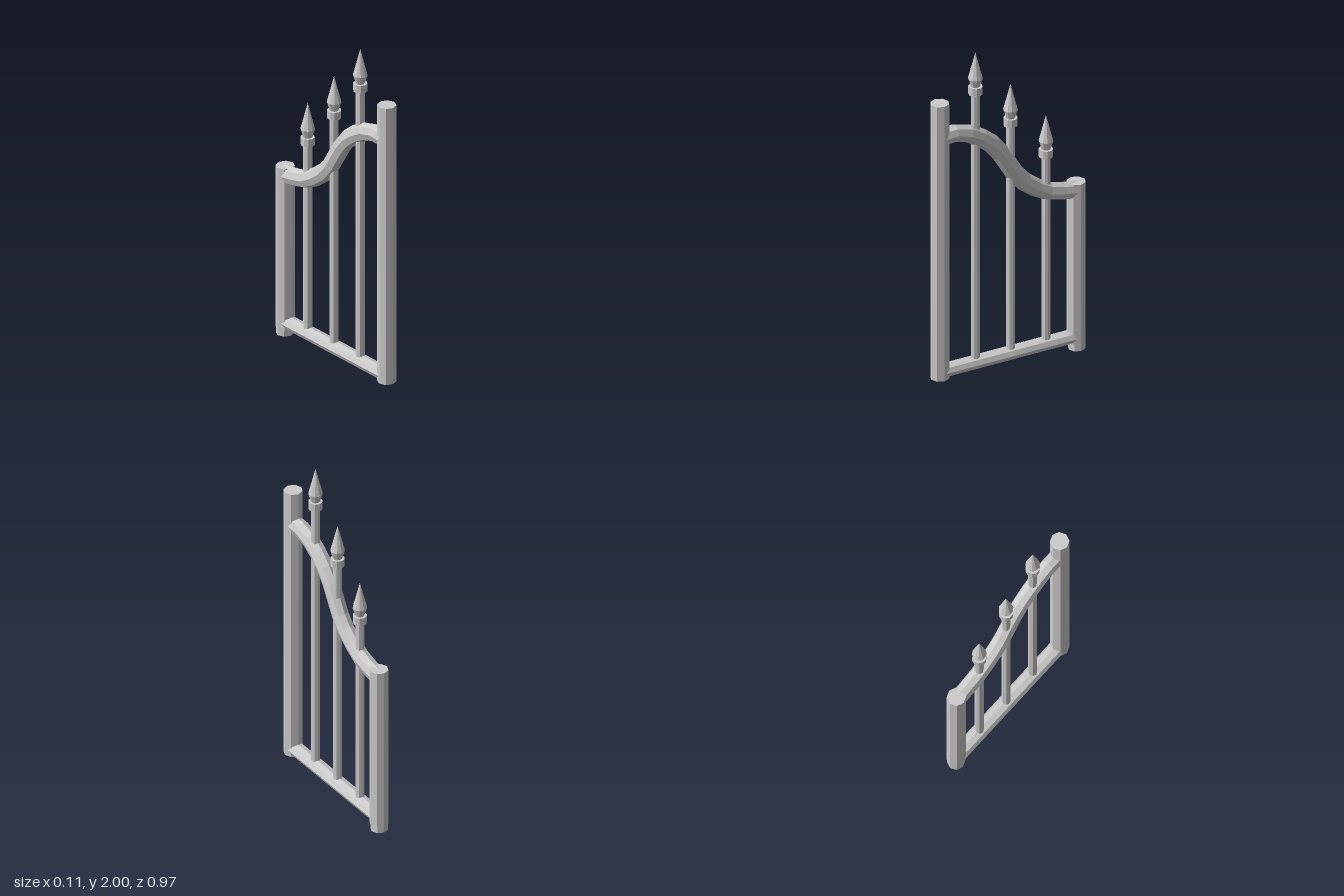
import * as THREE from 'three';

const material = new THREE.MeshStandardMaterial({ color: 0xcccccc, flatShading: true, side: THREE.DoubleSide });

function addMesh(parent, name, geometry, x = 0, y = 0, z = 0) {
  const mesh = new THREE.Mesh(geometry, material);
  mesh.name = name;
  mesh.position.set(x, y, z);
  parent.add(mesh);
  return mesh;
}

// Upright prism standing between two heights
function addPost(parent, name, radius, y0, y1, z, sides = 8) {
  return addMesh(parent, name, new THREE.CylinderGeometry(radius, radius, y1 - y0, sides), 0, (y0 + y1) / 2, z);
}

export function createModel() {
  const gate = new THREE.Group();
  gate.name = 'gate';

  // Side posts, the short one with a slimmer foot
  addPost(gate, 'tallPost', 0.054, 0.04, 1.743, 0.434);
  addPost(gate, 'shortPost', 0.054, 0.04, 1.035, -0.432);
  addPost(gate, 'shortPostFoot', 0.05, 0, 0.06, -0.435);

  // Bottom rail
  const rail = new THREE.CylinderGeometry(1, 1, 0.866, 8);
  rail.rotateX(Math.PI / 2);
  rail.scale(0.047, 0.0375, 1);
  addMesh(gate, 'bottomRail', rail, 0, 0.0775, 0);

  // S-curved top rail, given as z and y
  const path = [
    [0.43, 1.53], [0.32, 1.53], [0.21, 1.485], [0.085, 1.385], [0.01, 1.27],
    [-0.06, 1.16], [-0.135, 1.09], [-0.245, 1.022], [-0.34, 0.997], [-0.43, 0.983],
  ].map(([z, y]) => new THREE.Vector3(0, y, z));
  const curved = new THREE.TubeGeometry(new THREE.CatmullRomCurve3(path), 12, 0.053, 8);
  curved.scale(0.9, 1, 1);
  addMesh(gate, 'curvedTopRail', curved);

  // Bars stepping down, each with a collar and a spear head
  const spearProfile = [[0, 0], [0.025, 0], [0.041, 0.05], [0.028, 0.1], [0, 0.21]]
    .map(([r, y]) => new THREE.Vector2(r, y));
  [0.208, -0.015, -0.24].forEach((z, i) => {
    const top = 2 - i * 0.2525;
    const bar = new THREE.Group();
    bar.name = 'spearBar' + (i + 1);
    addPost(bar, 'bar', 0.025, 0.1, top - 0.24, z);
    addPost(bar, 'collar', 0.04, top - 0.257, top - 0.21, z, 10);
    addMesh(bar, 'spearHead', new THREE.LatheGeometry(spearProfile, 10), 0, top - 0.21, z);
    gate.add(bar);
  });

  return gate;
}
